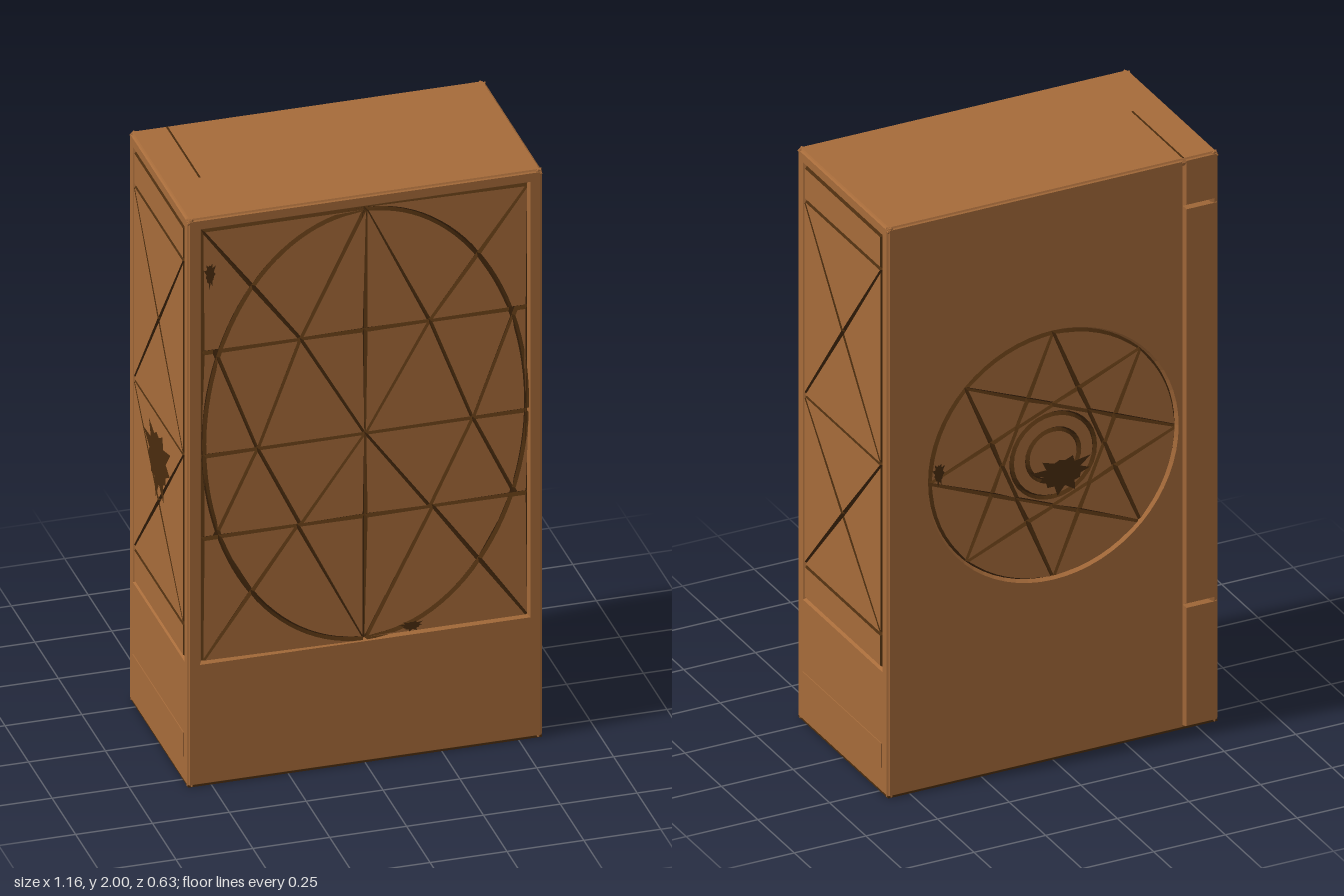
import * as THREE from 'three';
import { mergeGeometries } from 'three/addons/utils/BufferGeometryUtils.js';

const W = 0.577, D = 0.31, H = 2;          // half width, half depth, height
const GROOVE = 0.013, HALF = 0.008;        // groove depth and half width
const V = (x, y) => new THREE.Vector2(x, y);
const rect = (x0, y0, x1, y1) => [V(x0, y0), V(x1, y0), V(x1, y1), V(x0, y1)];
const oval = (cx, cy, rx, ry, n = 64) => Array.from({ length: n }, (_, i) => {
  const a = i / n * Math.PI * 2;
  return V(cx + rx * Math.cos(a), cy + ry * Math.sin(a));
});
const centre = (p) => p.reduce((s, q) => s.add(q), V(0, 0)).divideScalar(p.length);

// Drop repeated and collinear corners
function tidy(poly) {
  const p = poly.filter((q, i) => q.distanceTo(poly[(i + 1) % poly.length]) > 1e-3);
  return p.filter((q, i) => {
    const a = p[(i + p.length - 1) % p.length], b = p[(i + 1) % p.length];
    return Math.abs((q.x - a.x) * (b.y - q.y) - (q.y - a.y) * (b.x - q.x)) > 1e-7;
  });
}

// Keep the part of a convex polygon on one side of the line a-b
function clip(poly, a, b, sign) {
  const side = (p) => sign * ((b.x - a.x) * (p.y - a.y) - (b.y - a.y) * (p.x - a.x));
  const out = [];
  poly.forEach((p, i) => {
    const q = poly[(i + 1) % poly.length], s = side(p), t = side(q);
    if (s >= 0) out.push(p.clone());
    if (s * t < 0) out.push(p.clone().lerp(q, s / (s - t)));
  });
  return tidy(out);
}

// Cut every cell that passes the test along a line
function cut(cells, a, b, test = () => true) {
  return cells.flatMap((c) => (test(centre(c)) ? [clip(c, a, b, 1), clip(c, a, b, -1)] : [c]))
    .filter((c) => c.length > 2);
}

// Split one convex cell along an oval
function splitOval(cell, cx, cy, rx, ry) {
  const f = (p) => ((p.x - cx) / rx) ** 2 + ((p.y - cy) / ry) ** 2 - 1;
  const angle = (p) => Math.atan2((p.y - cy) / ry, (p.x - cx) / rx);
  const arc = (p, q) => {
    const a = angle(p), d = Math.atan2(Math.sin(angle(q) - a), Math.cos(angle(q) - a));
    const n = Math.ceil(Math.abs(d) / 0.06);
    return Array.from({ length: Math.max(0, n - 1) }, (_, i) => {
      const t = a + d * (i + 1) / n;
      return V(cx + rx * Math.cos(t), cy + ry * Math.sin(t));
    });
  };
  let pts = cell.flatMap((p, i) => Array.from({ length: 24 }, (_, k) =>
    p.clone().lerp(cell[(i + 1) % cell.length], k / 24)));
  const start = pts.findIndex((p) => f(p) < 0);
  if (start < 0 || pts.every((p) => f(p) < 0)) return [cell];
  pts = [...pts.slice(start), ...pts.slice(0, start)];
  const inside = [], outside = [];
  let run = null;
  pts.forEach((p, i) => {
    const q = pts[(i + 1) % pts.length], s = f(p), t = f(q);
    (s < 0 ? inside : run).push(p);
    if ((s < 0) === (t < 0)) return;
    let lo = 0, hi = 1;
    for (let k = 0; k < 25; k++) {
      const m = (lo + hi) / 2;
      if ((f(p.clone().lerp(q, m)) < 0) === (s < 0)) lo = m; else hi = m;
    }
    const x = p.clone().lerp(q, lo);
    if (s < 0) { inside.push(x); run = [x]; return; }
    run.push(x);
    inside.push(...arc(run[0], x), x);
    outside.push([...run, ...arc(x, run[0])]);
  });
  return [inside, ...outside].map(tidy);
}

// Plate with sloping edges, so that neighbours leave a V groove; its top is at z = 0
function plate(outline, holes = []) {
  const shape = new THREE.Shape(outline);
  shape.holes = holes.map((h) => new THREE.Path(h));
  const g = new THREE.ExtrudeGeometry(shape, {
    depth: 0.001, bevelThickness: GROOVE, bevelSize: HALF, bevelOffset: -HALF, bevelSegments: 1,
  });
  return g.translate(0, 0, -GROOVE - 0.001);
}

function cellPlates(cells) {
  return cells.filter((c) => {
    if (c.length < 3) return false;
    const rim = c.reduce((s, p, i) => s + p.distanceTo(c[(i + 1) % c.length]), 0);
    return Math.abs(THREE.ShapeUtils.area(c)) > 0.8 * rim * HALF;
  }).map((c) => plate(c));
}

// Flat jagged patch just above a face
function scar(x, y, rx, ry) {
  const pts = oval(x, y, rx, ry, 22).map((p, i) =>
    p.lerp(V(x, y), i % 2 ? 0.45 : 0.2 * (1 + Math.sin(i * 2.3))));
  return new THREE.ShapeGeometry(new THREE.Shape(pts)).translate(0, 0, 0.003);
}

export function createModel() {
  const wood = new THREE.MeshStandardMaterial({ color: 0xa66b3a });
  wood.name = 'warm brown';
  const dark = new THREE.MeshStandardMaterial({ color: 0x4a2c0e });
  dark.name = 'dark brown';
  const model = new THREE.Group();
  const add = (name, geos, parent, material = wood) => {
    const mesh = new THREE.Mesh(mergeGeometries(geos), material);
    mesh.name = name;
    parent.add(mesh);
  };
  // Carved plates: plain tops, dark groove walls
  const addCarved = (name, geos, parent) => {
    const group = new THREE.Group();
    group.name = name;
    geos.forEach((g) => {
      const mesh = new THREE.Mesh(g, [wood, dark]);
      mesh.name = name + 'Piece';
      group.add(mesh);
    });
    parent.add(group);
  };
  const face = (name) => {
    const g = new THREE.Group();
    g.name = name;
    model.add(g);
    return g;
  };

  // Core behind the plates, dark underside
  const coreH = H - GROOVE - 0.01;
  add('core', [new THREE.BoxGeometry(2 * (W - GROOVE), coreH, 2 * (D - GROOVE))
    .translate(0, 0.01 + coreH / 2, 0)], model, dark);
  add('underside', [new THREE.BoxGeometry(2 * W - 0.004, 0.007, 2 * D - 0.004)
    .translate(0, 0.0025, 0)], model, dark);

  // Front: frame and panel of triangles with an oval
  const front = face('front');
  front.position.z = D;
  const y0 = 0.435, y1 = 1.955, px = 0.53;
  add('frontFrame', [plate(rect(-W, 0, W, H), [rect(-px, y0, px, y1)])], front);
  const low = 0.87, mid = 1.16, high = 1.525;
  let cells = [rect(-px, y0, px, y1)];
  for (const y of [low, mid, high]) cells = cut(cells, V(-px, y), V(px, y));
  cells = cut(cells, V(0, y0), V(0, y1));
  // Zigzag lines, each from one row to the next: x, row, x, row
  const zigzag = [
    [0, y1, 0.21, high], [px, y1, 0.21, high],
    [0, mid, 0.21, high], [0.35, mid, 0.21, high], [0.35, mid, 0.49, high],
    [0, mid, 0.21, low], [0.35, mid, 0.21, low], [0.35, mid, 0.49, low],
    [0, y0, 0.22, low], [px, y0, 0.22, low],
  ];
  const cutBand = (s, [xa, ya, xb, yb], test = () => true) => {
    cells = cut(cells, V(s * xa, ya), V(s * xb, yb), (c) => c.x * s > 0
      && c.y > Math.min(ya, yb) && c.y < Math.max(ya, yb) && test(c));
  };
  for (const s of [-1, 1]) zigzag.forEach((z) => cutBand(s, z));
  const rx = 0.525, ry = 0.755, oy = 1.195;
  cells = cells.flatMap((c) => splitOval(c, 0, oy, rx, ry));
  const inOval = (c) => (c.x / rx) ** 2 + ((c.y - oy) / ry) ** 2 < 0.97;
  for (const s of [-1, 1]) {
    cutBand(s, [0.49, high, 0.25, y1], inOval);
    cutBand(s, [0.49, low, 0.24, y0], inOval);
  }
  addCarved('frontPanel', cellPlates(cells), front);
  add('frontScars', [scar(-0.505, 1.8, 0.022, 0.055), scar(0.15, 0.46, 0.045, 0.022)], front, dark);

  // Sides: frame, crossed panel and low base strip
  const sz = 0.265;
  for (const s of [-1, 1]) {
    const side = face(s > 0 ? 'leftSide' : 'rightSide');
    side.position.x = s * W;
    side.rotation.y = s * Math.PI / 2;
    add('sideFrame', [plate(rect(-D, 0, D, H), [rect(-sz, y0, sz, y1)])], side);
    let panel = [rect(-sz, y0, sz, y1)];
    for (const y of [0.555, 1.15, 1.835]) panel = cut(panel, V(-sz, y), V(sz, y));
    for (const [a, b] of [[0.555, 1.15], [1.15, 1.835]]) {
      const within = (c) => c.y > a && c.y < b;
      panel = cut(panel, V(-sz, a), V(sz, b), within);
      panel = cut(panel, V(-sz, b), V(sz, a), within);
    }
    addCarved('sidePanel', cellPlates(panel), side);
    add('baseStrip', [new THREE.BoxGeometry(0.54, 0.085, 0.006).translate(0, 0.133, 0)], side);
    if (s < 0) add('sideScar', [scar(0, 1, 0.16, 0.15)], side, dark);
  }

  // Back: corner strip and round star medallion
  const back = face('back');
  back.position.z = -D;
  back.rotation.y = Math.PI;
  const cy = 1.07, r = 0.43, seam = 0.458;
  add('backBoard', [plate(rect(-W, 0, seam, H), [oval(0, cy, r, r)])], back);
  add('cornerStrip', [[0, 0.43], [0.43, 1.83], [1.83, H]]
    .map(([a, b]) => plate(rect(seam, a, W, b))), back);
  let star = [oval(0, cy, r, r)];
  const tip = (i) => V(r * Math.cos(i * Math.PI / 4), cy + r * Math.sin(i * Math.PI / 4));
  for (let i = 0; i < 8; i++) star = cut(star, tip(i), tip(i + 3));
  const isHub = (c) => centre(c).distanceTo(V(0, cy)) < 0.03;
  addCarved('medallionStar', cellPlates(star.filter((c) => !isHub(c))), back);
  const ring = (a) => oval(0, cy, a, a, 32);
  addCarved('medallionHub', [
    ...star.filter(isHub).map((c) => plate(c, [ring(0.145)])),
    plate(ring(0.145), [ring(0.09)]), plate(ring(0.09)),
  ], back);
  add('backScars', [scar(0.03, 1.0, 0.12, 0.08), scar(-0.4, 1.1, 0.025, 0.05)], back, dark);

  // Top with a short seam
  const top = face('top');
  top.position.y = H;
  top.rotation.x = -Math.PI / 2;
  add('topBoard', [plate(rect(-W, -D, W, D))], top);
  add('topSeam', [new THREE.BoxGeometry(0.006, 0.35, 0.002).translate(-seam, 0.127, 0)], top, dark);
  return model;
}
